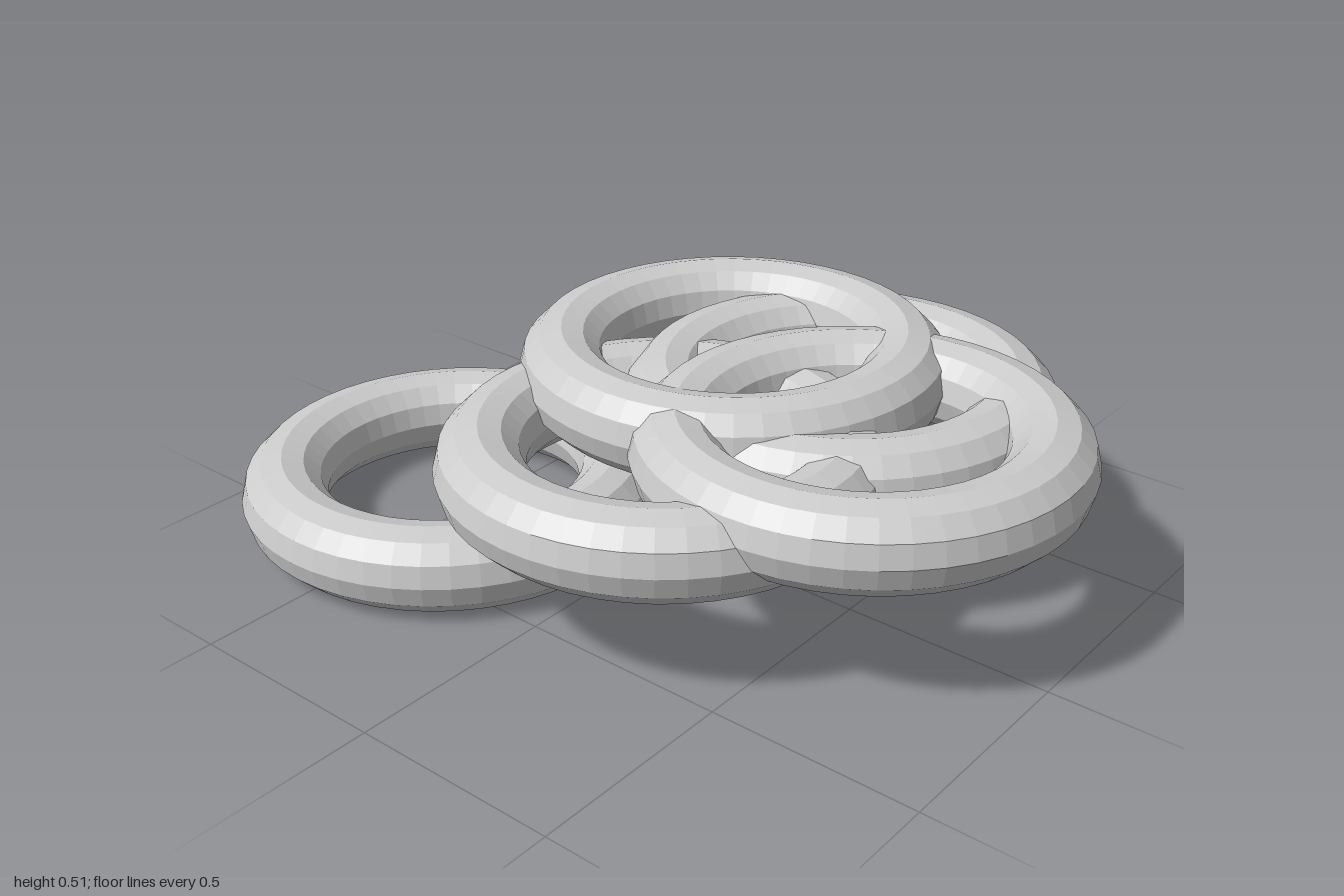
import * as THREE from 'three';

const RING_RADIUS = 0.406;
const TUBE_RADIUS = 0.102;

// Centre of each ring in the loose pile: name, x, y, z
const RINGS = [
  ['backRing', -0.262, 0.102, -0.492],
  ['rightRing', -0.204, 0.345, 0.128],
  ['leftRing', 0.262, 0.36, 0.272],
  ['frontRing', 0.026, 0.397, 0.492],
  ['topRing', 0.181, 0.41, 0.022],
];

export function createModel() {
  const group = new THREE.Group();
  group.name = 'ringPile';
  const material = new THREE.MeshStandardMaterial({ color: 0xcccccc, flatShading: true });

  // One ring shape, laid flat and shared by the whole pile
  const geometry = new THREE.TorusGeometry(RING_RADIUS, TUBE_RADIUS, 12, 48);
  geometry.rotateX(-Math.PI / 2);

  for (const [name, x, y, z] of RINGS) {
    const ring = new THREE.Mesh(geometry, material);
    ring.name = name;
    ring.position.set(x, y, z);
    group.add(ring);
  }
  return group;
}
